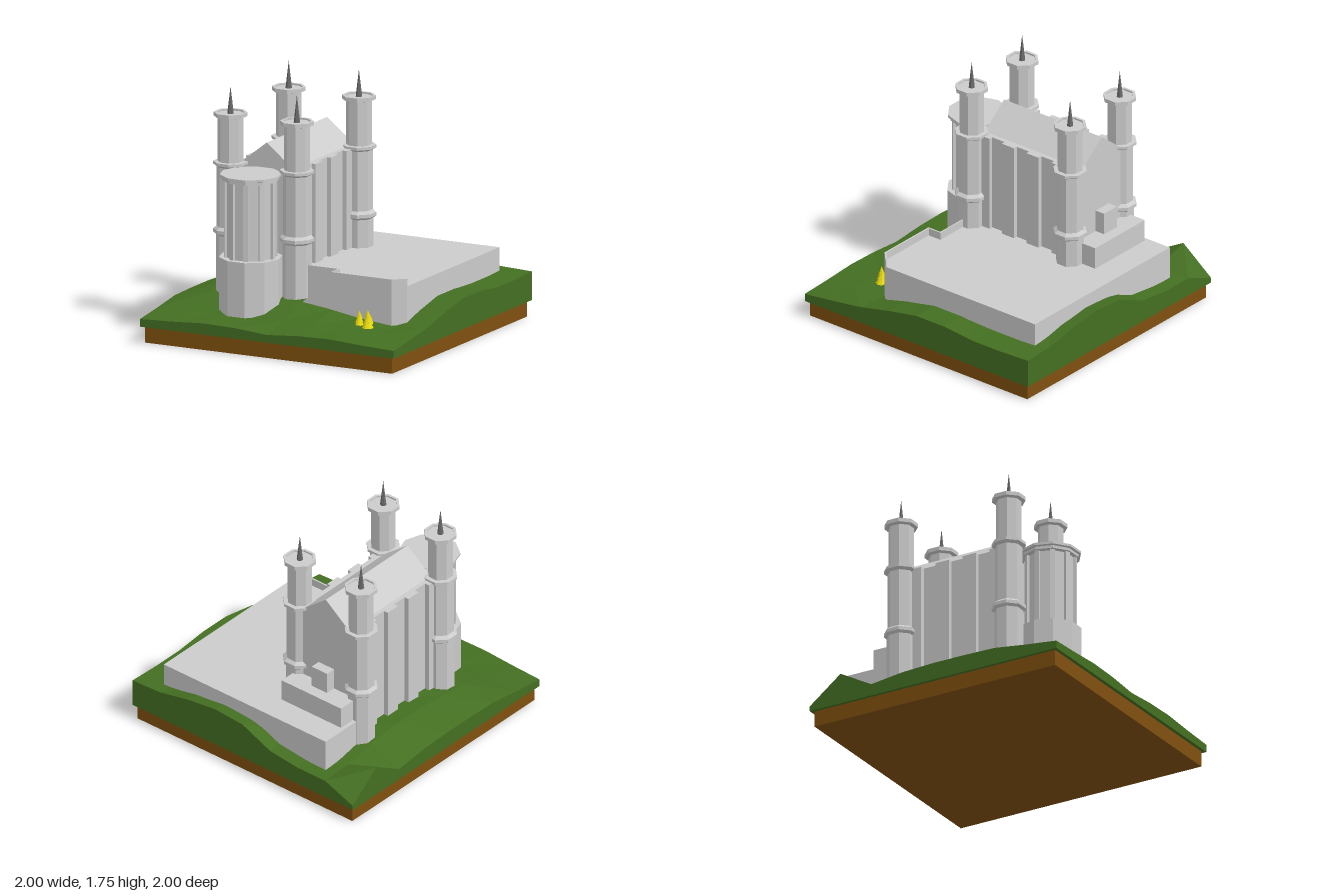
import * as THREE from 'three';

const mat = (name, color) => {
  const m = new THREE.MeshStandardMaterial({ color });
  m.name = name;
  return m;
};

// Split vertices so each face shades flat
function faceted(geo) {
  const g = geo.index ? geo.toNonIndexed() : geo;
  g.computeVertexNormals();
  return g;
}

// Ground heights by row from back to front, each row from -x to +x
const HEIGHTS = [
  [0.15, 0.25, 0.25, 0.28, 0.39, 0.41, 0.38, 0.33, 0.32],
  [0.34, 0.26, 0.27, 0.3, 0.36, 0.37, 0.35, 0.32, 0.31],
  [0.2, 0.31, 0.32, 0.32, 0.33, 0.33, 0.33, 0.32, 0.31],
  [0.23, 0.33, 0.33, 0.33, 0.33, 0.33, 0.33, 0.33, 0.335],
  [0.24, 0.33, 0.33, 0.33, 0.33, 0.33, 0.33, 0.33, 0.335],
  [0.24, 0.31, 0.32, 0.33, 0.32, 0.31, 0.3, 0.28, 0.29],
  [0.235, 0.28, 0.29, 0.3, 0.31, 0.28, 0.24, 0.215, 0.235],
  [0.2, 0.21, 0.21, 0.21, 0.22, 0.225, 0.215, 0.205, 0.2],
  [0.17, 0.18, 0.195, 0.19, 0.17, 0.19, 0.195, 0.18, 0.17],
];

export function createModel() {
  const model = new THREE.Group();
  const stone = mat('pale stone', 0xcbcbcb);
  const grass = mat('grass green', 0x446f22);
  const earth = mat('earth brown', 0x80500f);
  const iron = mat('spire grey', 0x6a6a6a);
  const yellow = mat('tree yellow', 0xe6d60f);

  function add(name, geo, material, x = 0, y = 0, z = 0, parent = model) {
    const mesh = new THREE.Mesh(faceted(geo), material);
    mesh.name = name;
    mesh.position.set(x, y, z);
    parent.add(mesh);
    return mesh;
  }

  // Box given by its limits on each axis
  function block(name, x0, x1, y0, y1, z0, z1, material = stone) {
    return add(name, new THREE.BoxGeometry(x1 - x0, y1 - y0, z1 - z0), material,
      (x0 + x1) / 2, (y0 + y1) / 2, (z0 + z1) / 2);
  }

  // Floor plan of [x, z] corners raised between two heights
  function raised(name, plan, y0, y1) {
    const shape = new THREE.Shape(plan.map(([x, z]) => new THREE.Vector2(x, -z)));
    const geo = new THREE.ExtrudeGeometry(shape, { depth: y1 - y0, bevelEnabled: false });
    return add(name, geo.rotateX(-Math.PI / 2), stone, 0, y0, 0);
  }

  // Outline of [x, y] corners extruded along z
  function alongZ(name, outline, z0, z1) {
    const shape = new THREE.Shape(outline.map(([x, y]) => new THREE.Vector2(x, y)));
    const geo = new THREE.ExtrudeGeometry(shape, { depth: z1 - z0, bevelEnabled: false });
    return add(name, geo, stone, 0, 0, z0);
  }

  // Prism-like turned part; profile runs bottom to top as [radius, y]
  const turned = (profile, sides, phase) => new THREE.LatheGeometry(
    profile.map(([r, y]) => new THREE.Vector2(r, y)), sides, phase);

  // Earth base and hilly ground
  block('earthBase', -0.975, 0.975, 0, 0.115, -0.975, 0.975, earth);
  const ground = new THREE.BoxGeometry(2, 1, 2, 8, 1, 8);
  const p = ground.attributes.position;
  for (let i = 0; i < p.count; i++) {
    const col = Math.round((p.getX(i) + 1) * 4);
    const row = Math.round((p.getZ(i) + 1) * 4);
    p.setY(i, p.getY(i) > 0 ? HEIGHTS[row][col] : 0.115);
  }
  add('ground', ground, grass);

  // Courtyard terrace with a front parapet and access ramp
  raised('terrace', [[-0.67, -0.9], [0.8, -0.9], [0.8, 0.44], [0.72, 0.515], [0.24, 0.515],
    [0.24, 0.41], [-0.5, 0.41], [-0.5, -0.5], [-0.67, -0.5]], 0.13, 0.49);
  raised('parapet', [[0.8, 0.44], [0.72, 0.515], [0.24, 0.515], [0.24, 0.41], [0, 0.41],
    [0, 0.4], [0.252, 0.4], [0.252, 0.503], [0.716, 0.503], [0.79, 0.434], [0.8, 0.434]], 0.48, 0.545);
  alongZ('ramp', [[0.02, 0.2], [0.24, 0.2], [0.24, 0.49], [0.02, 0.31]], 0.4, 0.51);

  // Hall with gabled roof and buttresses
  block('hallWalls', -0.605, -0.12, 0.2, 1.195, -0.54, 0.335);
  alongZ('hallRoof', [[-0.58, 1.19], [-0.15, 1.19], [-0.365, 1.36]], -0.54, 0.335);
  for (const z of [-0.37, -0.145, 0.075, 0.295]) {
    block('buttress', -0.64, -0.59, 0.2, 1.195, z - 0.055, z + 0.055);
    block('buttress', -0.13, -0.09, 0.2, 1.195, z - 0.055, z + 0.055);
  }
  block('rearAnnex', -0.64, -0.1, 0.3, 0.65, -0.7, -0.5);
  block('rearChimney', -0.44, -0.3, 0.6, 0.81, -0.615, -0.53);

  // Four octagonal corner towers
  const k = 1 / Math.cos(Math.PI / 8);
  const towerProfile = [[0.094, 0.15], [0.094, 0.69], [0.112, 0.705], [0.112, 0.73], [0.09, 0.75],
    [0.09, 1.175], [0.112, 1.19], [0.112, 1.21], [0.083, 1.212], [0.083, 1.525], [0.109, 1.532],
    [0.109, 1.56], [0.09, 1.56], [0.09, 1.548], [0, 1.548]].map(([r, y]) => [r * k, y]);
  for (const [x, z] of [[-0.635, -0.48], [-0.085, -0.487], [-0.622, 0.385], [-0.09, 0.4]]) {
    const tower = new THREE.Group();
    tower.name = 'cornerTower';
    tower.position.set(x, 0, z);
    add('towerShaft', turned(towerProfile, 8, Math.PI / 8), stone, 0, 0, 0, tower);
    add('spire', new THREE.ConeGeometry(0.023, 0.2, 6), iron, 0, 1.645, 0, tower);
    model.add(tower);
  }

  // Ten-sided front keep with ribs at its corners
  const keep = new THREE.Group();
  keep.name = 'frontKeep';
  keep.position.set(-0.365, 0, 0.566);
  add('keepShaft', turned([[0.222, 0.13], [0.222, 0.6], [0.172, 0.6], [0.172, 1.14], [0.2, 1.145],
    [0.2, 1.165], [0.217, 1.17], [0.217, 1.188], [0, 1.188]], 10, Math.PI / 10), stone, 0, 0, 0, keep);
  for (let i = 0; i < 10; i++) {
    const a = Math.PI / 10 + i * Math.PI / 5;
    const rib = add('keepRib', new THREE.BoxGeometry(0.036, 0.55, 0.03), stone,
      Math.sin(a) * 0.17, 0.872, Math.cos(a) * 0.17, keep);
    rib.rotation.y = a;
  }
  model.add(keep);

  // Small yellow conifers of three tiers
  for (const [x, z, top, r] of [[0.52, 0.615, 0.325, 0.038], [0.6, 0.64, 0.345, 0.042], [0.575, 0.565, 0.295, 0.034]]) {
    const h = top - 0.215;
    const tree = new THREE.Group();
    tree.name = 'conifer';
    tree.position.set(x, 0.215, z);
    for (let i = 0; i < 3; i++) {
      add('treeTier', new THREE.ConeGeometry(r * (1 - i * 0.22), h * 0.5, 8), yellow, 0, h * (0.25 + i * 0.25), 0, tree);
    }
    model.add(tree);
  }

  return model;
}
